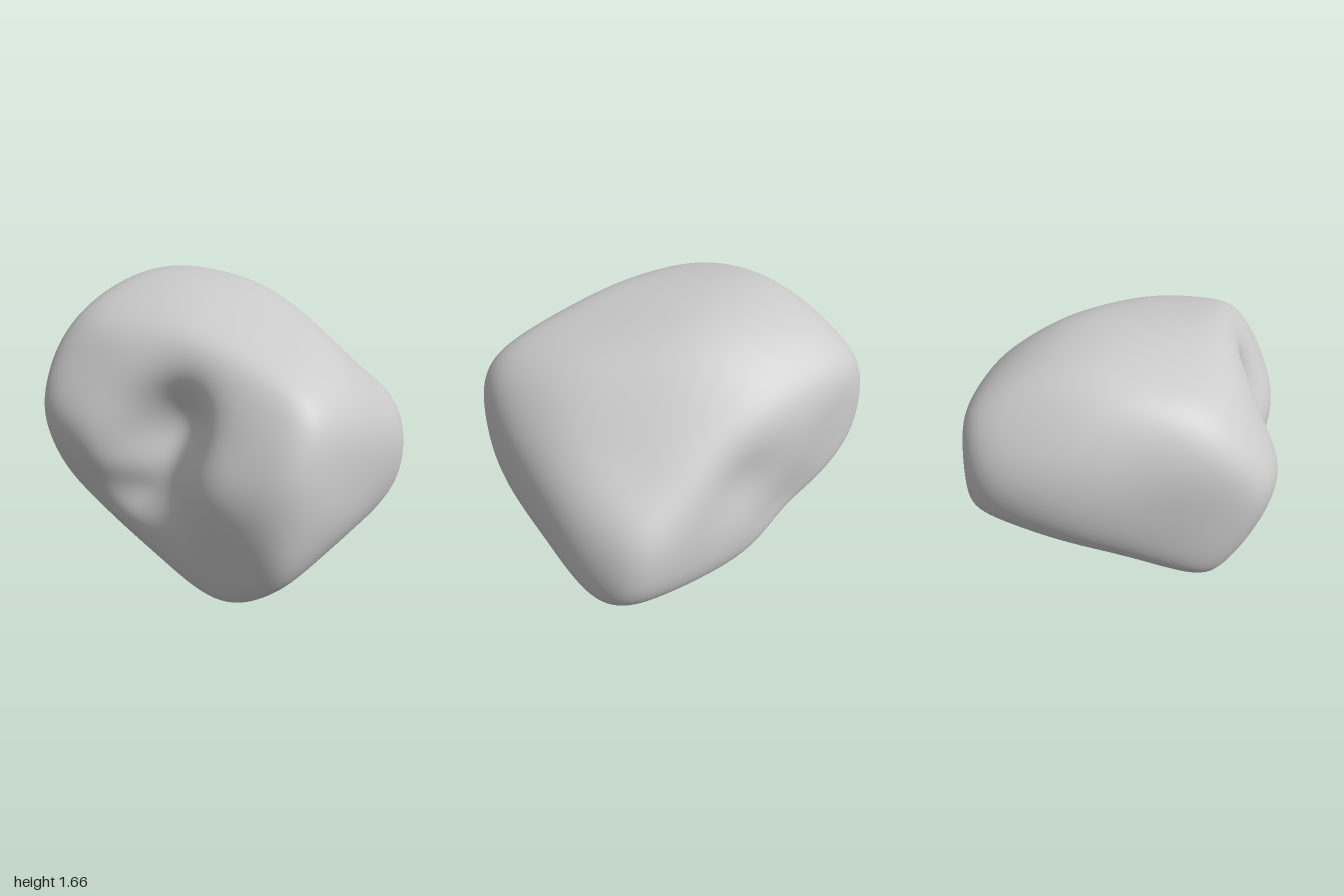
import * as THREE from 'three';
import { mergeVertices } from 'three/addons/utils/BufferGeometryUtils.js';

const CENTRE = new THREE.Vector3(0, 0.85, 0);
const SHARPNESS = 15;

// Each facet: outward normal, then a point the rounded surface passes through
const facet = (normal, point) => {
  const n = new THREE.Vector3(...normal).normalize();
  const p = new THREE.Vector3(...point).sub(CENTRE);
  return { n, p, h: n.dot(p) };
};

const topFacets = [
  facet([0.28, 1, 0], [0.4, 1.53, 0]),
  facet([-0.05, 1, 0], [-0.3, 1.66, 0]),
  facet([-0.05, 1, 0.25], [-0.25, 1.61, 0.35]),
  facet([-0.05, 1, -0.25], [-0.25, 1.61, -0.35]),
  facet([-0.1, 1, 0.75], [-0.35, 1.5, 0.65]),
  facet([0, 0.8, -0.7], [-0.3, 1.45, -0.63]),
  facet([-0.75, 0.7, -0.1], [-0.87, 1.42, -0.1]),
  facet([0.75, 0.65, 0], [0.89, 1.28, 0.1]),
  facet([0.72, 0.55, -0.4], [0.72, 1.18, -0.37]),
  facet([0.4, 0.7, -0.55], [0.25, 1.4, -0.48]),
  facet([-0.28, 0.59, 0.76], [-0.5, 1.38, 0.71]),
  facet([-0.76, 0.59, 0.28], [-0.78, 1.4, 0.35]),
];
const sideFacets = [
  facet([-1, 0.05, -0.15], [-1, 1.08, -0.2]),
  facet([-1, 0, 0.37], [-0.83, 1, 0.4]),
  facet([-0.8, 0, 0.6], [-0.65, 1.05, 0.8]),
  facet([-0.85, -0.5, 0], [-0.87, 0.75, 0]),
  facet([-0.7, 0, -0.7], [-0.86, 1.1, -0.64]),
  facet([1, 0, 0.08], [1, 0.95, 0.1]),
  facet([1, 0, -0.2], [0.94, 0.8, -0.35]),
  facet([0.8, 0, 0.6], [0.89, 0.75, 0.64]),
  facet([0.7, 0, -0.6], [0.77, 0.68, -0.81]),
];
const frontFacets = [
  facet([0, 0.1, 1], [-0.38, 1.05, 0.94]),
  facet([-0.2, -0.35, 1], [-0.4, 0.7, 0.82]),
  facet([-0.25, -0.62, 0.75], [-0.15, 0.42, 0.73]),
  facet([0.2, 0.05, 1], [0.58, 0.75, 0.78]),
  facet([0.2, 0.5, 0.85], [0.6, 1.2, 0.63]),
  facet([0.15, -0.2, 1], [0.28, 0.3, 0.7]),
];
const backFacets = [
  facet([0.1, 0.35, -1], [0.45, 1, -0.81]),
  facet([0.1, 0, -1], [0.5, 0.65, -0.92]),
  facet([-0.17, 0, -1], [-0.45, 1.1, -0.77]),
  facet([0, -0.65, -0.75], [0.4, 0.39, -0.83]),
];
const bottomFacets = [
  facet([-0.62, -1, -0.2], [-0.2, 0.24, 0.2]),
  facet([-0.7, -0.8, -0.1], [-0.68, 0.55, 0.1]),
  facet([0.05, -1, 0.05], [0.3, 0, 0.35]),
  facet([0, -0.7, 0.7], [0.32, 0.08, 0.61]),
  facet([0, -1, -0.3], [0.25, 0.21, -0.5]),
  facet([0.45, -0.9, 0], [0.62, 0.11, 0.15]),
  facet([0.75, -0.65, 0], [0.85, 0.33, 0.1]),
  facet([0.9, -0.4, 0], [0.96, 0.55, 0.05]),
];
const FACETS = [...topFacets, ...sideFacets, ...frontFacets, ...backFacets, ...bottomFacets];

// Hollows pressed in along z: x, y, depth, radius (negative depth swells)
const FRONT_HOLLOWS = [
  [0.18, 1.08, 0.26, 0.22],
  [0.05, 0.95, 0.1, 0.17],
  [0.12, 0.75, 0.14, 0.2],
  [-0.05, 0.65, 0.07, 0.15],
  [0.15, 0.45, 0.03, 0.22],
];
const BACK_HOLLOWS = [
  [0, 0.97, 0.05, 0.22],
  [-0.32, 0.65, 0.04, 0.22],
  [0.72, 0.95, -0.05, 0.2],
];

const hollowDepth = (hollows, x, y) =>
  hollows.reduce((sum, [cx, cy, depth, radius]) =>
    sum + depth * Math.exp(-((x - cx) ** 2 + (y - cy) ** 2) / radius ** 2), 0);

// Distance from the centre to the rounded intersection of all facets
function radius(d) {
  let sum = 0;
  for (const { n, h } of FACETS) sum += Math.max(0, d.dot(n) / h) ** SHARPNESS;
  return sum ** (-1 / SHARPNESS);
}

// Rounding pulls the surface inwards, so move facets until it meets their points
function settleFacets() {
  const d = new THREE.Vector3();
  for (let pass = 0; pass < 16; pass++) {
    for (const f of FACETS) f.h *= f.p.length() / radius(d.copy(f.p).normalize());
  }
}

function boulderGeometry() {
  const source = new THREE.IcosahedronGeometry(1, 44);
  source.deleteAttribute('normal');
  source.deleteAttribute('uv');
  const geometry = mergeVertices(source, 1e-5);
  const pos = geometry.attributes.position;
  const v = new THREE.Vector3();

  for (let i = 0; i < pos.count; i++) {
    // Faceted, rounded body
    v.fromBufferAttribute(pos, i).normalize();
    v.multiplyScalar(radius(v)).add(CENTRE);
    // Curved cleft in front, shallow dips behind, faint weathering
    const front = THREE.MathUtils.smoothstep(v.z, 0.1, 0.55);
    const back = THREE.MathUtils.smoothstep(-v.z, 0.1, 0.55);
    const ripple = 1 + 0.005 * Math.sin(9 * v.x + 4 * v.y) * Math.sin(8 * v.z - 5 * v.y);
    const z = v.z - front * hollowDepth(FRONT_HOLLOWS, v.x, v.y)
      + back * hollowDepth(BACK_HOLLOWS, v.x, v.y);
    pos.setXYZ(i, v.x * ripple, v.y, z * ripple);
  }
  geometry.computeVertexNormals();
  return geometry;
}

export function createModel() {
  settleFacets();
  const group = new THREE.Group();
  group.name = 'rock';
  const boulder = new THREE.Mesh(boulderGeometry(), new THREE.MeshStandardMaterial({ color: 0xcccccc }));
  boulder.name = 'boulder';
  group.add(boulder);
  return group;
}
